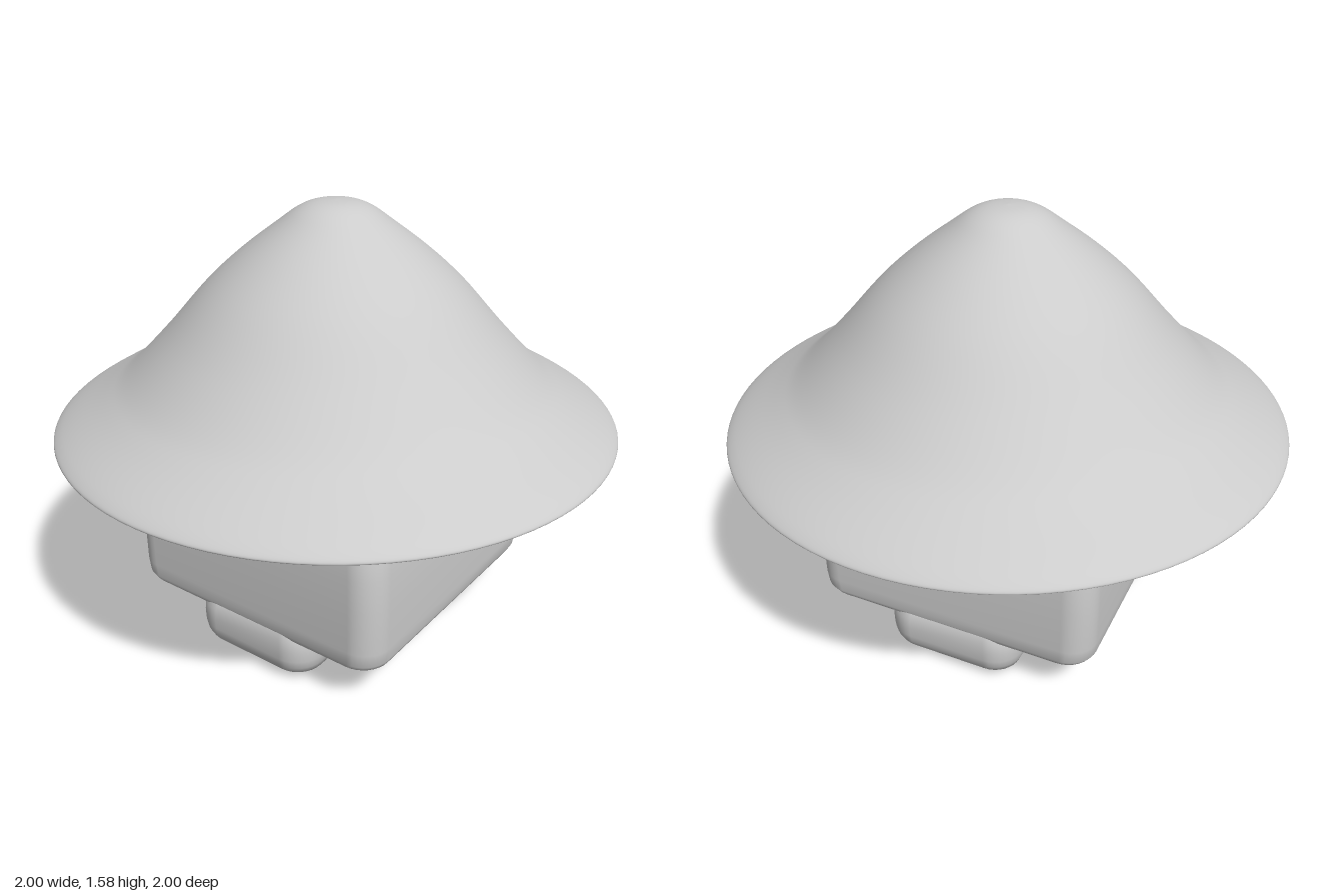
import * as THREE from 'three';

const material = new THREE.MeshStandardMaterial({ color: 0xcccccc });

// Closed solid from stacked rounded rectangles, bottom to top: [y, half width, half depth, corner radius]
function loft(rings, cornerSteps = 8) {
  const position = [], index = [];
  const n = 4 * (cornerSteps + 1);
  for (const [y, hx, hz, r] of rings) {
    for (let q = 0; q < 4; q++) {
      const sx = q === 0 || q === 3 ? 1 : -1;
      const sz = q < 2 ? 1 : -1;
      for (let k = 0; k <= cornerSteps; k++) {
        const a = (q + k / cornerSteps) * Math.PI / 2;
        position.push(sx * (hx - r) + r * Math.cos(a), y, sz * (hz - r) + r * Math.sin(a));
      }
    }
  }
  for (let i = 0; i < rings.length - 1; i++) {
    for (let j = 0; j < n; j++) {
      const a = i * n + j, c = i * n + (j + 1) % n;
      index.push(a, a + n, c, c, a + n, c + n);
    }
  }
  const geometry = new THREE.BufferGeometry();
  geometry.setAttribute('position', new THREE.Float32BufferAttribute(position, 3));
  geometry.setIndex(index);
  geometry.computeVertexNormals();
  return geometry;
}

function addMesh(group, name, geometry, x = 0) {
  const mesh = new THREE.Mesh(geometry, material);
  mesh.name = name;
  mesh.position.x = x;
  group.add(mesh);
}

export function createModel() {
  const group = new THREE.Group();
  group.name = 'mushroomHouse';

  // Wide bell-shaped cap: shallow underside, thin rim, sloped crown
  const profile = new THREE.SplineCurve([
    [0, 0.745], [0.3, 0.745], [0.6, 0.752], [0.84, 0.766], [0.95, 0.783], [0.985, 0.795],
    [1, 0.806], [0.985, 0.825], [0.94, 0.856], [0.82, 0.928], [0.73, 0.995], [0.6, 1.13],
    [0.455, 1.295], [0.33, 1.41], [0.2, 1.51], [0.13, 1.56], [0.07, 1.583], [0, 1.59],
  ].map(([x, y]) => new THREE.Vector2(x, y))).getPoints(85);
  profile.forEach((p) => { p.x = Math.min(Math.max(p.x, 0), 1); });
  profile[0].x = profile[profile.length - 1].x = 0;
  addMesh(group, 'cap', new THREE.LatheGeometry(profile, 96));

  // Square stem with soft edges, narrowing towards the cap
  addMesh(group, 'stem', loft([
    [0.155, 0, 0, 0], [0.156, 0.36, 0.36, 0.05], [0.163, 0.46, 0.46, 0.08],
    [0.172, 0.495, 0.495, 0.09], [0.187, 0.52, 0.52, 0.1], [0.21, 0.532, 0.532, 0.1],
    [0.26, 0.536, 0.536, 0.1], [0.42, 0.537, 0.537, 0.1], [0.54, 0.534, 0.534, 0.1],
    [0.62, 0.527, 0.527, 0.1], [0.7, 0.514, 0.514, 0.1], [0.78, 0.495, 0.495, 0.1],
    [0.78, 0, 0, 0],
  ]));

  // Two rounded feet, one under each side
  const foot = loft([
    [0.006, 0, 0.12, 0], [0.01, 0.04, 0.17, 0.035], [0.022, 0.085, 0.212, 0.075],
    [0.042, 0.11, 0.238, 0.095], [0.07, 0.125, 0.25, 0.105], [0.1, 0.131, 0.256, 0.11],
    [0.14, 0.132, 0.257, 0.11], [0.18, 0.13, 0.255, 0.11], [0.22, 0.115, 0.24, 0.1],
    [0.25, 0.08, 0.2, 0.07], [0.26, 0, 0.12, 0],
  ]);
  for (const side of [1, -1]) {
    addMesh(group, side > 0 ? 'leftFoot' : 'rightFoot', foot, side * 0.406);
  }

  return group;
}
